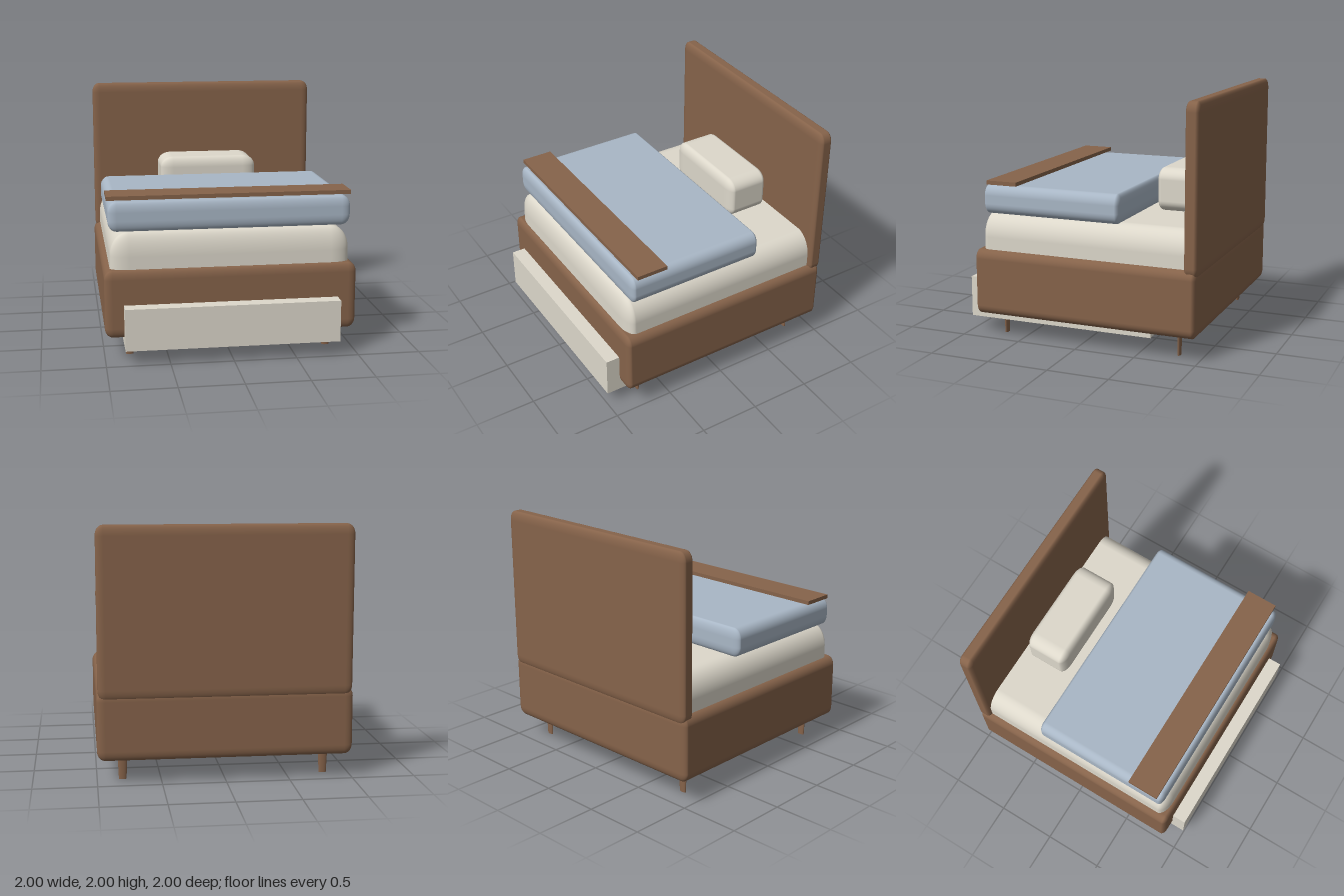
import * as THREE from 'three';
import { RoundedBoxGeometry } from 'three/addons/geometries/RoundedBoxGeometry.js';

const wood = new THREE.MeshStandardMaterial({ color: 0x86634a });
const linen = new THREE.MeshStandardMaterial({ color: 0xddd8cb });
const blue = new THREE.MeshStandardMaterial({ color: 0xa9b7c6 });

// Rounded box between two corners, with its own edge radius along each axis
function softBox(name, min, max, radii, material) {
  const geo = new RoundedBoxGeometry(4, 4, 4, 5, 1);
  const pos = geo.attributes.position;
  const nor = geo.attributes.normal;
  const n = new THREE.Vector3();
  for (let i = 0; i < pos.count; i++) {
    n.fromBufferAttribute(nor, i);
    for (let a = 0; a < 3; a++) {
      const v = pos.getComponent(i, a);
      const half = (max[a] - min[a]) / 2;
      const mid = (max[a] + min[a]) / 2;
      pos.setComponent(i, a, mid + Math.sign(v) * (half + (Math.abs(v) - 2) * radii[a]));
      n.setComponent(a, n.getComponent(a) / radii[a]);
    }
    n.normalize();
    nor.setXYZ(i, n.x, n.y, n.z);
  }
  const mesh = new THREE.Mesh(geo, material);
  mesh.name = name;
  return mesh;
}

// Sharp box between two corners
function plainBox(name, min, max, material) {
  const size = max.map((v, a) => v - min[a]);
  const mesh = new THREE.Mesh(new THREE.BoxGeometry(...size), material);
  mesh.position.set(...max.map((v, a) => (v + min[a]) / 2));
  mesh.name = name;
  return mesh;
}

export function createModel() {
  const bed = new THREE.Group();
  bed.name = 'bed';

  // Upholstered frame
  bed.add(softBox('bedBase', [-1, 0.19, -0.99], [1, 0.73, 0.885], [0.065, 0.075, 0.035], wood));
  bed.add(softBox('headboard', [-0.99, 0.665, -1], [0.99, 2, -0.885], [0.06, 0.08, 0.03], wood));

  // Bedding
  bed.add(softBox('mattress', [-0.95, 0.5, -0.95], [0.95, 1.02, 0.85], [0.15, 0.19, 0.07], linen));
  bed.add(softBox('duvet', [-0.96, 1.02, -0.355], [0.96, 1.257, 0.815], [0.07, 0.085, 0.035], blue));
  bed.add(softBox('pillow', [-0.42, 1.033, -0.825], [0.42, 1.386, -0.455], [0.11, 0.09, 0.05], linen));
  bed.add(plainBox('footThrow', [-0.968, 1.264, 0.512], [0.968, 1.296, 0.773], wood));

  // Storage drawer slid out under the foot end
  bed.add(plainBox('underbedDrawer', [-0.85, 0.12, -0.58], [0.85, 0.455, 1], linen));

  // Flattened tapered legs
  const legGeo = new THREE.CylinderGeometry(0.04, 0.03, 0.23, 20);
  for (const x of [-0.8, 0.8]) {
    for (const z of [0.702, -0.805]) {
      const leg = new THREE.Mesh(legGeo, wood);
      leg.name = 'leg';
      leg.scale.z = 0.42;
      leg.position.set(x, 0.115, z);
      bed.add(leg);
    }
  }
  return bed;
}
